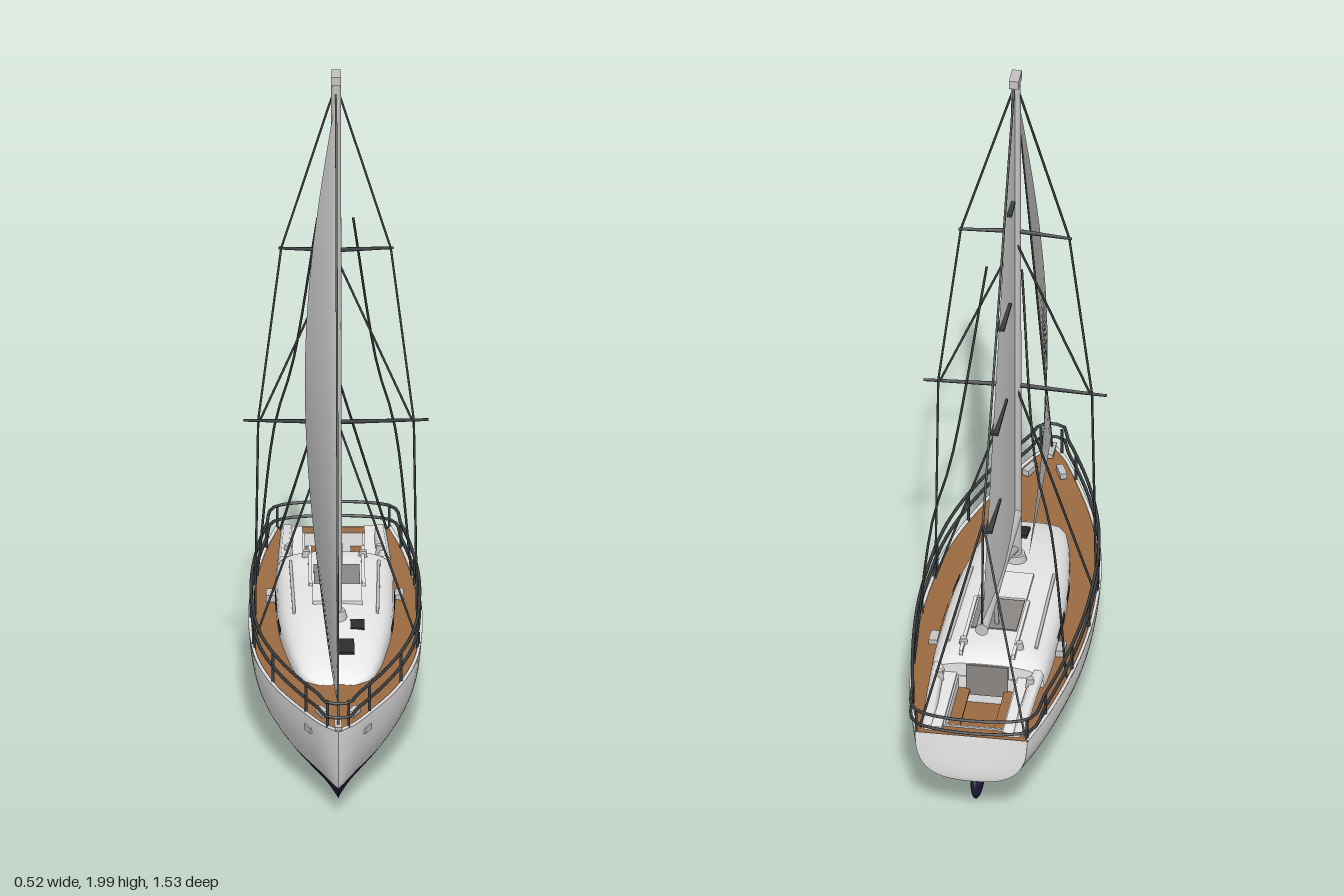
import * as THREE from 'three';

const mat = (name, color, double) => {
  const m = new THREE.MeshStandardMaterial({ color });
  m.name = name;
  if (double) m.side = THREE.DoubleSide;
  return m;
};

export function createModel() {
  const white = mat('hull white', 0xececec, true);
  const navy = mat('bottom navy', 0x1e1c3a, true);
  const teak = mat('deck teak', 0x9c6b42, true);
  const cloth = mat('sail cloth', 0xd6d6d6, true);
  const alloy = mat('spar alloy', 0xc4c4c4);
  const steel = mat('rail steel', 0x3b3f41);
  const glass = mat('hatch glass', 0x2a2b2d);
  const shade = mat('companionway grey', 0x8a8784);

  const boat = new THREE.Group();
  boat.name = 'sailboat';
  boat.position.x = 0.01;

  // ---- helpers ----
  const add = (name, geo, material, x = 0, y = 0, z = 0) => {
    const m = new THREE.Mesh(geo, material);
    m.name = name;
    m.position.set(x, y, z);
    boat.add(m);
    return m;
  };
  const box = (name, material, w, h, d, x, y, z) => add(name, new THREE.BoxGeometry(w, h, d), material, x, y, z);
  const rod = (name, material, r, a, b, r2 = r, sides = 6) => {
    const p = new THREE.Vector3(...a), q = new THREE.Vector3(...b), d = q.clone().sub(p);
    const m = add(name, new THREE.CylinderGeometry(r2, r, d.length(), sides), material);
    m.position.copy(p).add(q).multiplyScalar(0.5);
    m.quaternion.setFromUnitVectors(new THREE.Vector3(0, 1, 0), d.normalize());
    return m;
  };
  const path = (name, material, r, pts, closed = false) => add(name, new THREE.TubeGeometry(
    new THREE.CatmullRomCurve3(pts.map(p => new THREE.Vector3(...p)), closed), pts.length * 4, r, 6, closed), material);
  // Smooth surface through a rectangular net of points
  const surface = (name, material, nu, nv, fn) => {
    const pos = [], idx = [];
    for (let i = 0; i <= nu; i++) for (let j = 0; j <= nv; j++) pos.push(...fn(i / nu, j / nv));
    for (let i = 0; i < nu; i++) for (let j = 0; j < nv; j++) {
      const a = i * (nv + 1) + j, b = a + nv + 1;
      idx.push(a, b, a + 1, b, b + 1, a + 1);
    }
    const g = new THREE.BufferGeometry();
    g.setAttribute('position', new THREE.Float32BufferAttribute(pos, 3));
    g.setIndex(idx);
    g.computeVertexNormals();
    return add(name, g, material);
  };
  const lerp = THREE.MathUtils.lerp;
  const curveTable = rows => {
    const n = rows[0].length - 1;
    const f = new THREE.CubicInterpolant(new Float32Array(rows.map(r => r[0])),
      new Float32Array(rows.flatMap(r => r.slice(1))), n, new Float32Array(n));
    return z => Array.from(f.evaluate(z));
  };

  // ---- hull: z, half beam, keel height, deck height, section fullness, waterline ----
  const Z0 = -0.75, Z1 = 0.755;
  const hull = curveTable([
    [-0.75, 0.16, 0.135, 0.288, 2.8, 0.14], [-0.6, 0.195, 0.1, 0.282, 2.6, 0.117],
    [-0.4, 0.226, 0.058, 0.273, 2.4, 0.1], [-0.2, 0.243, 0.027, 0.266, 2.4, 0.092],
    [0, 0.242, 0.011, 0.262, 2.4, 0.09], [0.2, 0.224, 0.012, 0.262, 2.3, 0.09],
    [0.4, 0.173, 0.018, 0.264, 2.1, 0.09], [0.6, 0.092, 0.033, 0.27, 1.8, 0.09],
    [0.72, 0.03, 0.048, 0.274, 1.6, 0.09], [0.755, 0, 0.058, 0.276, 1.5, 0.09],
  ]);
  const section = (z, y) => {
    const [B, yb, yd, n] = hull(z);
    const u = THREE.MathUtils.clamp((y - yb) / (yd - yb), 0, 1);
    const rake = 0.028 * (1 - u) * THREE.MathUtils.smoothstep(z, 0.4, Z1);
    return [B * Math.pow(Math.max(0, 1 - Math.pow(1 - u, n)), 1 / n), y, z - rake];
  };
  surface('hullBottom', navy, 40, 24, (i, j) => {
    const z = lerp(Z0, Z1, i), [, yb, , , yw] = hull(z), t = 2 * j - 1;
    const p = section(z, lerp(yb, yw, t * t));
    return [p[0] * Math.sign(t), p[1], p[2]];
  });
  for (const s of [-1, 1]) surface('topside', white, 40, 10, (i, j) => {
    const z = lerp(Z0, Z1, i), [, , yd, , yw] = hull(z);
    const p = section(z, lerp(yw, yd, j));
    return [s * p[0], p[1], p[2]];
  });
  surface('transom', white, 8, 14, (i, j) => {
    const [, yb, yd] = hull(Z0);
    const p = section(Z0, lerp(yb, yd, j * j));
    return [p[0] * (2 * i - 1), p[1], Z0 - 0.006 * Math.sin(Math.PI * i) * Math.sin(Math.PI * j)];
  });

  // ---- deck with cockpit opening ----
  const edge = [];
  for (let i = 0; i <= 30; i++) edge.push(lerp(Z0, Z1, i / 30));
  const outline = new THREE.Shape([
    ...edge.map(z => new THREE.Vector2(hull(z)[0], -z)),
    ...edge.slice(0, -1).reverse().map(z => new THREE.Vector2(-hull(z)[0], -z)),
  ]);
  const well = { x: 0.085, a: -0.7, b: -0.45, floor: 0.2 };
  outline.holes.push(new THREE.Path([[-1, 'a'], [1, 'a'], [1, 'b'], [-1, 'b']]
    .map(([s, k]) => new THREE.Vector2(s * well.x, -well[k]))));
  const deck = new THREE.ShapeGeometry(outline).rotateX(-Math.PI / 2);
  const dp = deck.attributes.position;
  for (let i = 0; i < dp.count; i++) dp.setY(i, hull(dp.getZ(i))[2] - 0.003);
  deck.computeVertexNormals();
  add('deck', deck, teak);
  for (const s of [-1, 1]) path('toeRail', white, 0.005, edge.map(z => [s * hull(z)[0] * 0.99, hull(z)[2], z]));

  // ---- cockpit ----
  const mid = (well.a + well.b) / 2, len = well.b - well.a;
  box('cockpitFloor', teak, 2 * well.x, 0.006, len, 0, well.floor, mid);
  for (const s of [-1, 1]) {
    box('cockpitSide', white, 0.006, 0.09, len, s * well.x, 0.243, mid);
    box('cockpitSeat', teak, 0.035, 0.008, len, s * 0.066, 0.245, mid);
    path('coaming', white, 0.019, [[s * 0.13, 0.285, -0.73], [s * 0.135, 0.298, -0.6], [s * 0.142, 0.305, -0.44]]);
    box('coamingTop', white, 0.05, 0.03, 0.29, s * 0.112, 0.282, -0.585);
  }
  for (const z of [well.a, well.b]) box('cockpitEnd', white, 2 * well.x, 0.09, 0.006, 0, 0.243, z);

  // ---- coachroof: z, half width, crown height ----
  const roof = curveTable([
    [-0.45, 0.162, 0.332], [-0.42, 0.165, 0.346], [-0.25, 0.168, 0.352], [0, 0.16, 0.35],
    [0.15, 0.142, 0.335], [0.28, 0.118, 0.308], [0.35, 0.09, 0.284], [0.38, 0.05, 0.264],
  ]);
  const roofPoint = (z, t) => {
    const [w, top] = roof(z), base = hull(z)[2] - 0.006, a = t * Math.PI / 2;
    return [w * Math.sign(a) * Math.pow(Math.abs(Math.sin(a)), 0.75),
      base + (top - base) * Math.pow(Math.max(0, Math.cos(a)), 0.6), z];
  };
  surface('coachroof', white, 28, 24, (i, j) => roofPoint(lerp(-0.45, 0.38, i), 2 * j - 1));
  surface('coachroofBack', white, 1, 24, (i, j) => {
    const p = roofPoint(-0.45, 2 * j - 1);
    return [p[0], i ? p[1] : 0.262, p[2]];
  });
  box('companionwayOpening', shade, 0.13, 0.008, 0.15, 0.005, 0.352, -0.225);
  box('companionwayDoor', shade, 0.12, 0.1, 0.006, 0, 0.28, -0.454);
  box('hatchGarage', white, 0.14, 0.014, 0.13, 0.005, 0.352, -0.08);
  for (const s of [-1, 1]) {
    box('hatchRunner', white, 0.01, 0.016, 0.28, s * 0.075 + 0.005, 0.351, -0.29);
    rod('handrail', alloy, 0.005, [s * 0.125, 0.34, -0.36], [s * 0.118, 0.338, 0.02]);
    // side windows lie just outside the roof surface
    for (const [a, b] of [[-0.24, -0.1], [-0.04, 0.05]]) surface('sideWindow', glass.clone ? windowGlass(glass) : glass, 6, 3, (i, j) => {
      const p = roofPoint(lerp(a, b, i), s * lerp(0.84, 0.94, j));
      return [p[0] + s * 0.003, p[1] + 0.002, p[2]];
    });
  }
  const foreHatch = box('foreHatch', glass, 0.06, 0.008, 0.07, 0.02, 0.323, 0.24);
  foreHatch.rotation.x = 0.2;
  const smallHatch = box('smallHatch', glass, 0.04, 0.008, 0.055, 0.06, 0.337, 0.11);
  smallHatch.rotation.x = 0.1;

  // ---- deck fittings ----
  for (const s of [-1, 1]) {
    for (const [x, y, z] of [[0.08, 0.352, -0.375], [0.13, 0.318, -0.5]])
      add('winch', new THREE.CylinderGeometry(0.01, 0.014, 0.03, 12), alloy, s * x, y, z);
    box('sheetTrack', alloy, 0.025, 0.02, 0.05, s * 0.182, 0.277, -0.26);
    box('bowCleat', alloy, 0.02, 0.018, 0.05, s * 0.045, 0.28, 0.62).rotation.y = -s * 0.4;
    box('hullFairlead', alloy, 0.012, 0.016, 0.04, s * 0.082, 0.225, 0.612).rotation.y = -s * 0.45;
    box('chainplate', steel, 0.01, 0.04, 0.015, s * 0.232, 0.275, 0.07);
  }
  const anchorRoller = box('anchorRoller', alloy, 0.02, 0.012, 0.07, 0, 0.282, 0.72);
  anchorRoller.rotation.x = 0.05;

  // ---- guard rails ----
  const railX = z => Math.max(0.03, hull(z)[0] * 0.975);
  const railZ = [-0.74, -0.6, -0.47, -0.35, -0.23, -0.12, 0, 0.1, 0.23, 0.36, 0.48, 0.6, 0.68, 0.74];
  for (const y of [0.355, 0.312]) path('guardRail', steel, 0.0048, [
    ...railZ.map(z => [railX(z), y, z]), ...railZ.slice().reverse().map(z => [-railX(z), y, z])], true);
  for (const s of [-1, 1]) for (const z of [-0.74, -0.6, -0.35, -0.12, 0.1, 0.36, 0.6, 0.72])
    rod('stanchion', steel, 0.0045, [s * Math.min(railX(z), hull(z)[0]), hull(z)[2], z], [s * railX(z), 0.355, z]);

  // ---- rudder ----
  const rudder = add('rudder', new THREE.SphereGeometry(1, 20, 14), navy, 0, 0.065, -0.625);
  rudder.scale.set(0.018, 0.057, 0.068);
  rod('rudderStock', alloy, 0.012, [0, 0.07, -0.615], [0, 0.14, -0.615]);

  // ---- spars ----
  rod('mast', alloy, 0.017, [0, 0.3, 0.07], [0, 1.975, 0.07], 0.014, 12);
  box('masthead', alloy, 0.028, 0.026, 0.06, 0, 1.987, 0.062);
  rod('boom', alloy, 0.019, [0, 0.505, 0.06], [0, 0.52, -0.555], 0.019, 12);
  rod('boomVang', alloy, 0.011, [0, 0.39, 0.05], [0, 0.5, -0.18], 0.009, 8);
  rod('mainsheet', alloy, 0.007, [0, 0.35, -0.27], [0, 0.505, -0.32]);
  add('mastCollar', new THREE.CylinderGeometry(0.026, 0.034, 0.03, 12), alloy, 0, 0.352, 0.07);
  for (const [y, w] of [[1.465, 0.162], [0.94, 0.262]]) for (const s of [-1, 1])
    rod('spreader', steel, 0.007, [0, y, 0.07], [s * w, y, 0.055], 0.004);

  // ---- sails: u runs from luff to leech, v from foot to head ----
  surface('mainsail', cloth, 16, 32, (u, v) => {
    const leech = lerp(-0.545, 0.035, v) - 0.02 * Math.sin(Math.PI * v);
    return [-0.014 * Math.sin(Math.PI * u) * (1 - v), lerp(0.52, 1.97, v), lerp(0.06, leech, u)];
  });
  surface('jib', cloth, 16, 32, (u, v) => [
    -Math.pow(u, 0.8) * (0.035 * (1 - v) + 0.07 * Math.sin(Math.PI * v)),
    lerp(0.34, 1.94, v) + 0.012 * u * (1 - v), lerp(lerp(0.72, 0.08, v), 0.085, u)]);
  for (const [y, a, b] of [[1.63, -0.03, -0.1], [1.33, -0.1, -0.235], [1.05, -0.17, -0.35], [0.79, -0.29, -0.46]])
    box('sailBatten', steel, 0.022, 0.008, a - b, -0.004, y, (a + b) / 2);

  // ---- standing rigging ----
  const wire = (a, b) => rod('wire', steel, 0.0035, a, b);
  wire([0, 0.28, 0.735], [0, 1.96, 0.075]);
  wire([0, 1.98, 0.04], [0, 0.87, -0.53]);
  wire([0, 0.87, -0.53], [0, 0.53, -0.55]);
  for (const s of [-1, 1]) {
    wire([0, 1.97, 0.07], [s * 0.155, 1.465, 0.057]);
    wire([s * 0.155, 1.465, 0.057], [s * 0.22, 0.94, 0.057]);
    wire([s * 0.22, 0.94, 0.057], [s * 0.23, 0.28, 0.07]);
    wire([0, 1.44, 0.06], [s * 0.215, 0.94, 0.057]);
    wire([0, 0.95, 0.06], [s * 0.225, 0.28, 0.05]);
    wire([0, 0.87, -0.53], [s * 0.15, 0.29, -0.725]);
    path('runningStay', steel, 0.0035, [[s * 0.05, 1.48, -0.14], [s * 0.12, 0.95, -0.335], [s * 0.17, 0.75, -0.37], [s * 0.218, 0.28, -0.4]]);
  }
  return boat;
}

// Thin window panes share the glass material, shown from both sides
function windowGlass(glass) {
  glass.side = THREE.DoubleSide;
  return glass;
}
